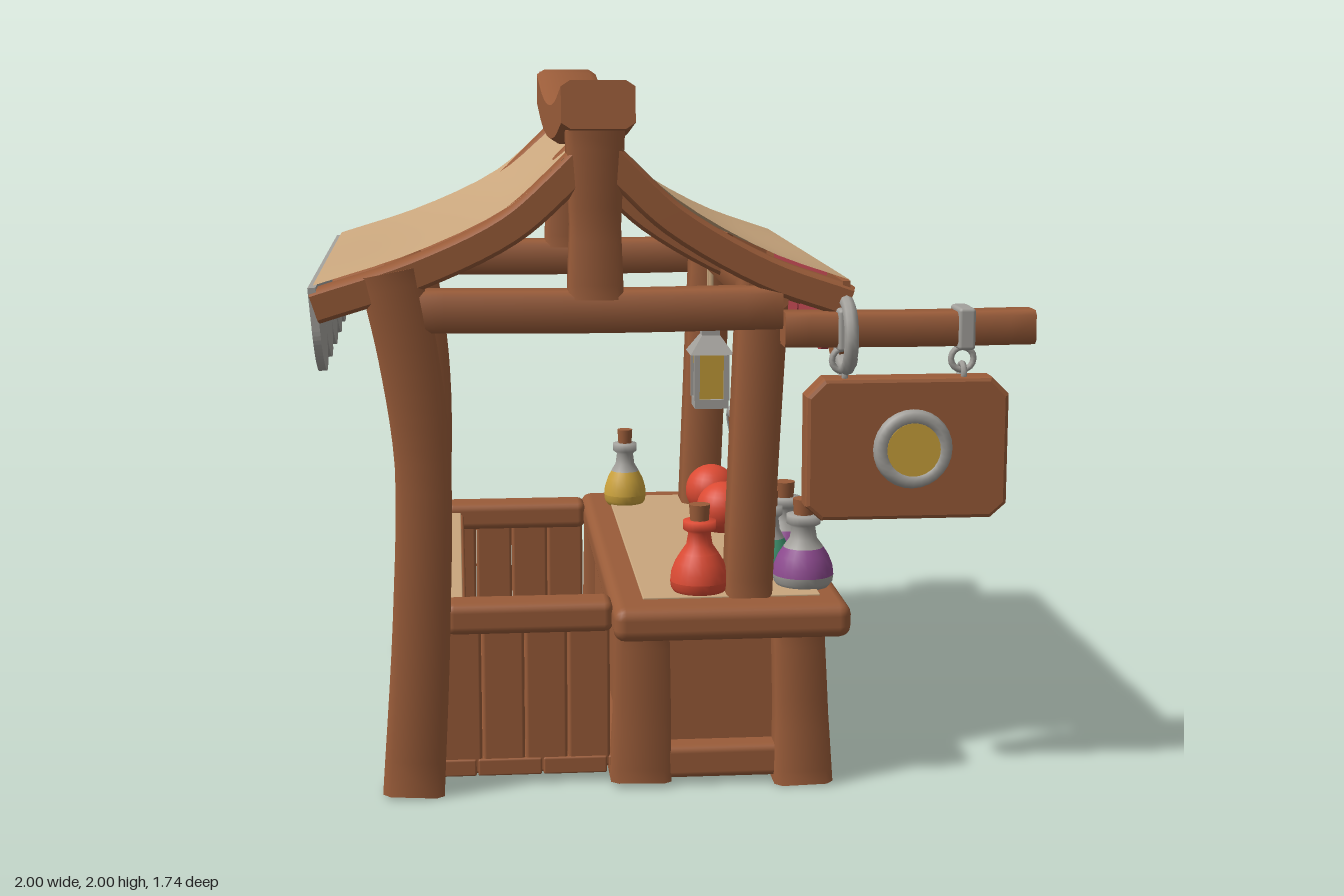
import * as THREE from 'three';
import { toCreasedNormals } from 'three/addons/utils/BufferGeometryUtils.js';
import { RoundedBoxGeometry } from 'three/addons/geometries/RoundedBoxGeometry.js';

const mat = (name, color, side = THREE.FrontSide) =>
  Object.assign(new THREE.MeshStandardMaterial({ color, side }), { name });
const wood = mat('wood', 0x9a5c39);
const canvas = mat('canvas', 0xc9a67d, THREE.DoubleSide);
const redCloth = mat('redCloth', 0xb0414a);
const metal = mat('greyMetal', 0xa3a19c);
const fruit = mat('brightRed', 0xdb4a33);
const gold = mat('gold', 0xcba23c);
const purple = mat('purple', 0x8d4a8f);
const green = mat('green', 0x429a74);

const V = (x, y, z) => new THREE.Vector3(x, y, z);
const X = V(1, 0, 0), Z = V(0, 0, 1);

export function createModel() {
  const root = new THREE.Group();
  root.name = 'marketStall';

  const add = (name, geo, m, x = 0, y = 0, z = 0, parent = root) => {
    const mesh = new THREE.Mesh(geo, m);
    mesh.name = name;
    mesh.position.set(x, y, z);
    parent.add(mesh);
    return mesh;
  };
  // box given by its extents, softly rounded
  const box = (name, m, [x0, x1], [y0, y1], [z0, z1], r = 0.02) => {
    const w = x1 - x0, h = y1 - y0, d = z1 - z0;
    return add(name, new RoundedBoxGeometry(w, h, d, 2, Math.min(r, w / 2.1, h / 2.1, d / 2.1)), m,
      (x0 + x1) / 2, (y0 + y1) / 2, (z0 + z1) / 2);
  };
  // hewn timber: chamfered section swept along points [x, y, z, scale]
  const beam = (name, pts, w, d, side, m = wood) => {
    const curve = new THREE.CatmullRomCurve3(pts.map(p => V(p[0], p[1], p[2])));
    const n = (pts.length - 1) * 5, c = 0.25, pos = [], idx = [];
    const section = [[1, -1 + c], [1, 1 - c], [1 - c, 1], [-1 + c, 1], [-1, 1 - c], [-1, -1 + c], [-1 + c, -1], [1 - c, -1]];
    for (let i = 0; i <= n; i++) {
      const f = i / n, p = curve.getPoint(f), t = curve.getTangent(f);
      const v = t.clone().cross(side).normalize();
      const k = Math.min(Math.floor(f * (pts.length - 1)), pts.length - 2);
      const s = THREE.MathUtils.lerp(pts[k][3] ?? 1, pts[k + 1][3] ?? 1, f * (pts.length - 1) - k);
      for (const [a, b] of section)
        pos.push(...p.clone().addScaledVector(side, a * w * s / 2).addScaledVector(v, b * d * s / 2).toArray());
    }
    for (let i = 0; i < n; i++) for (let j = 0; j < 8; j++) {
      const a = i * 8 + j, b = i * 8 + (j + 1) % 8;
      idx.push(a, b, a + 8, b, b + 8, a + 8);
    }
    for (let j = 1; j < 7; j++) idx.push(0, j + 1, j, n * 8, n * 8 + j, n * 8 + j + 1);
    const g = new THREE.BufferGeometry();
    g.setAttribute('position', new THREE.Float32BufferAttribute(pos, 3));
    g.setIndex(idx);
    return add(name, toCreasedNormals(g, 0.9), m);
  };

  // Roof cloth: concave slopes, sagging between the gables
  const slopes = [
    [[-0.98, 1.44], [-0.7, 1.53], [-0.45, 1.65], [-0.31, 1.77], [-0.21, 1.87]],
    [[0.485, 1.44], [0.25, 1.525], [0, 1.67], [-0.12, 1.78], [-0.21, 1.87]],
  ];
  slopes.forEach((pts, k) => {
    const curve = new THREE.CatmullRomCurve3(pts.map(p => V(p[0], p[1], 0)));
    const g = new THREE.PlaneGeometry(1, 1, 14, 14), p = g.attributes.position;
    for (let i = 0; i < p.count; i++) {
      const u = p.getX(i) + 0.5, v = p.getY(i) * 2, q = curve.getPoint(k ? 1 - u : u);
      const sag = 0.07 * (1 - v * v) * (k ? 1 - u : u);
      p.setXYZ(i, q.x, q.y + 0.008 - sag, -0.03 - v * 0.79);
    }
    g.computeVertexNormals();
    add('roofCloth', g, canvas);
    // rafters at both gables and the middle
    for (const [z, drop] of [[0.7, 0.055], [-0.03, 0.11], [-0.77, 0.055]])
      beam('rafter', pts.map(([x, y]) => [x, y - drop, z]), 0.12, 0.09, Z);
  });
  beam('ridgeBeam', [[-0.21, 1.93, 0.79], [-0.21, 1.875, 0.4], [-0.21, 1.855, -0.03], [-0.21, 1.875, -0.46], [-0.21, 1.93, -0.86]], 0.2, 0.13, X);
  box('ridgeEndPaint', redCloth, [-0.3, -0.12], [1.872, 1.988], [-0.868, -0.86], 0.003);

  // Frame, the same at the front and the back
  for (const s of [1, -1]) {
    const zl = s * 0.72 - 0.04, zr = s * 0.62 - 0.022, zg = s * 0.735 - 0.035;
    beam('leftPost', [[-0.735, 0, zl, 1.08], [-0.705, 0.5, zl], [-0.695, 0.95, zl, 0.95], [-0.73, 1.25, zl], [-0.775, 1.48, zl, 1.05]], 0.16, 0.16, Z);
    beam('rightPost', [[0.225, 0.5, zr], [0.24, 0.9, zr], [0.265, 1.46, zr, 1.05]], 0.15, 0.13, Z);
    beam('crossBeam', [[-0.74, 1.37, zg], [-0.2, 1.365, zg], [0.3, 1.37, zg]], 0.12, 0.115, Z);
    beam('kingPost', [[-0.215, 1.4, zg, 1.05], [-0.215, 1.6, zg, 0.95], [-0.215, 1.86, zg, 1.1]], 0.12, 0.145, Z);

    // Low plank wall beside the counter
    const zw = s * 0.66 - 0.04;
    for (let i = 0; i < 4; i++)
      box('lowWallPlank', wood, [-0.66 + i * 0.122, -0.54 + i * 0.122], [0.025 + (i % 2) * 0.012, 0.47], [zw - 0.035, zw + 0.035], 0.01);
    box('lowWallCap', wood, [-0.64, -0.165], [0.44, 0.53], [zw - 0.06, zw + 0.06], 0.025);

    // Counter legs and end rails
    const zc = s * 0.705 - 0.035;
    beam('counterLeg', [[0.375, 0, zc, 1.12], [0.37, 0.2, zc], [0.36, 0.45, zc, 0.95]], 0.16, 0.15, Z);
    beam('counterLeg', [[-0.09, 0.01, zc, 1.08], [-0.085, 0.2, zc], [-0.085, 0.45, zc, 0.95]], 0.12, 0.16, Z);
    box('counterEndRail', wood, [-0.05, 0.35], [0.015, 0.11], [zc - 0.05, zc + 0.05]);
  }
  for (const [x, y] of [[-0.745, 1.43], [0.27, 1.41]])
    beam('eaveBeam', [[x, y, 0.68], [x, y - 0.01, -0.03], [x, y, -0.76]], 0.11, 0.1, X);

  // Left wall: boards below, canvas above, narrow ledge inside
  box('leftWall', wood, [-0.765, -0.69], [0.02, 0.87], [-0.74, 0.66], 0.01);
  box('leftWallCanvas', canvas, [-0.75, -0.71], [0.86, 1.46], [-0.74, 0.66], 0.005);
  box('wallLedge', wood, [-0.7, -0.58], [0.45, 0.495], [-0.68, 0.6], 0.01);
  box('wallLedgeCloth', canvas, [-0.7, -0.59], [0.495, 0.502], [-0.66, 0.58], 0.003);

  // Floor boards
  for (let i = 0; i < 6; i++)
    box('floorBoard', wood, [-0.74 + i * 0.187, -0.557 + i * 0.187], [0.02, 0.07], [-0.72, 0.66], 0.006);

  // Counter
  box('counterBody', wood, [-0.13, 0.37], [0.03, 0.45], [-0.72, 0.65], 0.01);
  box('counterBottomRail', wood, [0.33, 0.41], [0.015, 0.11], [-0.74, 0.67]);
  box('counterTop', wood, [-0.17, 0.505], [0.43, 0.53], [-0.83, 0.77], 0.035);
  box('counterCloth', canvas, [-0.08, 0.43], [0.527, 0.535], [-0.72, 0.66], 0.003);

  // Scalloped awnings
  const flap = new THREE.Shape();
  flap.moveTo(-0.13, 0);
  flap.lineTo(-0.13, -0.12);
  flap.absellipse(0, -0.12, 0.13, 0.125, Math.PI, Math.PI * 2, false);
  flap.lineTo(0.13, 0);
  const flapGeo = new THREE.ExtrudeGeometry(flap, { depth: 0.022, bevelEnabled: false, curveSegments: 16 });
  flapGeo.rotateY(Math.PI / 2);
  for (let i = 0; i < 6; i++) {
    const z = 0.622 - i * 0.2585;
    add('awningFlap', flapGeo, i === 0 || i === 5 ? wood : redCloth, 0.465, 1.445, z);
    const left = add('leftAwningFlap', flapGeo, metal, -0.995, 1.44, z);
    left.rotation.z = 0.08;
  }

  // Hanging sign
  beam('signBeam', [[0.3, 1.315, 0.75], [0.65, 1.312, 0.75], [1, 1.315, 0.75]], 0.1, 0.095, Z);
  const board = new THREE.Shape([[-0.24, -0.2], [0.24, -0.2], [0.285, -0.16], [0.285, 0.15], [0.235, 0.2], [-0.235, 0.2], [-0.285, 0.15], [-0.285, -0.16]]
    .map(p => new THREE.Vector2(...p)));
  add('signBoard', new THREE.ExtrudeGeometry(board, { depth: 0.06, bevelSize: 0.012, bevelOffset: -0.012, bevelThickness: 0.015, bevelSegments: 2 }),
    wood, 0.647, 0.978, 0.72);
  const disc = (name, r, t, m, x, y, z, parent) => {
    const g = new THREE.CylinderGeometry(r, r, t, 28);
    g.rotateX(Math.PI / 2);
    return add(name, g, m, x, y, z, parent);
  };
  disc('signMedallion', 0.075, 0.135, gold, 0.66, 0.98, 0.75);
  for (const z of [0.8, 0.7]) add('signRing', new THREE.TorusGeometry(0.09, 0.022, 8, 28), metal, 0.66, 0.98, z);
  for (const x of [0.47, 0.805]) {
    box('signClamp', metal, [x - 0.024, x + 0.024], [1.255, 1.372], [0.692, 0.808], 0.01);
    add('signLink', new THREE.TorusGeometry(0.032, 0.009, 6, 16), metal, x, 1.225, 0.75);
    add('signEye', new THREE.TorusGeometry(0.026, 0.009, 6, 16), metal, x, 1.185, 0.75).rotation.y = Math.PI / 2;
  }
  add('beamHoop', new THREE.TorusGeometry(0.092, 0.02, 8, 24), metal, 0.475, 1.295, 0.755).rotation.y = Math.PI / 2;

  // Lantern
  const lantern = new THREE.Group();
  lantern.name = 'lantern';
  lantern.position.set(0.235, 0.9, -0.405);
  root.add(lantern);
  const frustum = (name, r0, r1, h, m, y) => {
    const g = new THREE.CylinderGeometry(r1 * Math.SQRT2, r0 * Math.SQRT2, h, 4);
    g.rotateY(Math.PI / 4);
    add(name, toCreasedNormals(g, 0.5), m, 0, y + h / 2, 0, lantern);
  };
  frustum('lanternBase', 0.055, 0.055, 0.03, metal, 0);
  frustum('lanternGlass', 0.042, 0.052, 0.15, gold, 0.03);
  frustum('lanternRoof', 0.072, 0.03, 0.06, metal, 0.18);
  frustum('lanternCap', 0.03, 0.03, 0.025, metal, 0.24);
  for (const sx of [-1, 1]) for (const sz of [-1, 1])
    add('lanternBar', new THREE.BoxGeometry(0.018, 0.155, 0.018), metal, sx * 0.049, 0.105, sz * 0.049, lantern);
  add('lanternRing', new THREE.TorusGeometry(0.035, 0.009, 6, 18), metal, 0, 0.295, 0, lantern).rotation.y = Math.PI / 2;
  for (const z of [-0.03, 0.03]) add('lanternCord', new THREE.CylinderGeometry(0.008, 0.008, 0.19, 6), canvas, 0, 0.4, z, lantern);

  // Round paw sign leaning on the back post
  const paw = new THREE.Group();
  paw.name = 'pawSign';
  paw.position.set(0.385, 0.695, -0.64);
  paw.rotation.set(-0.25, Math.PI / 2, 0, 'YXZ');
  root.add(paw);
  disc('pawBoard', 0.15, 0.04, wood, 0, 0, 0, paw);
  add('pawRim', new THREE.TorusGeometry(0.148, 0.025, 8, 36), metal, 0, 0, 0, paw);
  disc('pawPad', 0.045, 0.008, gold, 0, -0.025, 0.023, paw).scale.set(1.15, 0.8, 1);
  for (const [x, y] of [[-0.08, 0.025], [-0.032, 0.065], [0.032, 0.065], [0.08, 0.025]])
    disc('pawToe', 0.023, 0.008, canvas, x, y, 0.023, paw);

  // Bottles: base, liquid band, neck and cork
  const bottle = (name, x, z, base, band, neck, width = 1) => {
    const g = new THREE.Group();
    g.name = name;
    g.position.set(x, 0.53, z);
    g.scale.set(width, 1, width);
    root.add(g);
    const lathe = (part, m, pts) => add(part, new THREE.LatheGeometry(pts.map(p => new THREE.Vector2(...p)), 24), m, 0, 0, 0, g);
    lathe('bottleBase', base, [[0, 0], [0.075, 0], [0.086, 0.015], [0.089, 0.035]]);
    lathe('bottleBand', band, [[0.089, 0.035], [0.086, 0.06], [0.074, 0.09], [0.058, 0.115]]);
    lathe('bottleNeck', neck, [[0.058, 0.115], [0.04, 0.14], [0.034, 0.175], [0.05, 0.185], [0.05, 0.21], [0, 0.212]]);
    add('cork', new THREE.CylinderGeometry(0.032, 0.028, 0.05, 14), wood, 0, 0.232, 0, g);
  };
  bottle('purpleBottle', 0.4, 0.53, metal, purple, metal);
  bottle('purpleBottle', 0.38, 0.285, metal, purple, metal);
  bottle('greenBottle', 0.32, 0.41, green, green, metal, 0.72);
  bottle('redBottle', 0.09, 0.58, fruit, fruit, fruit, 0.95);
  bottle('yellowBottle', -0.03, -0.62, gold, gold, metal, 0.8);

  // Fruit
  for (const [x, y, z] of [[0.25, 0.608, -0.165], [0.34, 0.612, -0.285], [0.24, 0.62, -0.395]])
    add('redFruit', new THREE.SphereGeometry(0.085, 24, 16), fruit, x, y, z);

  return root;
}
